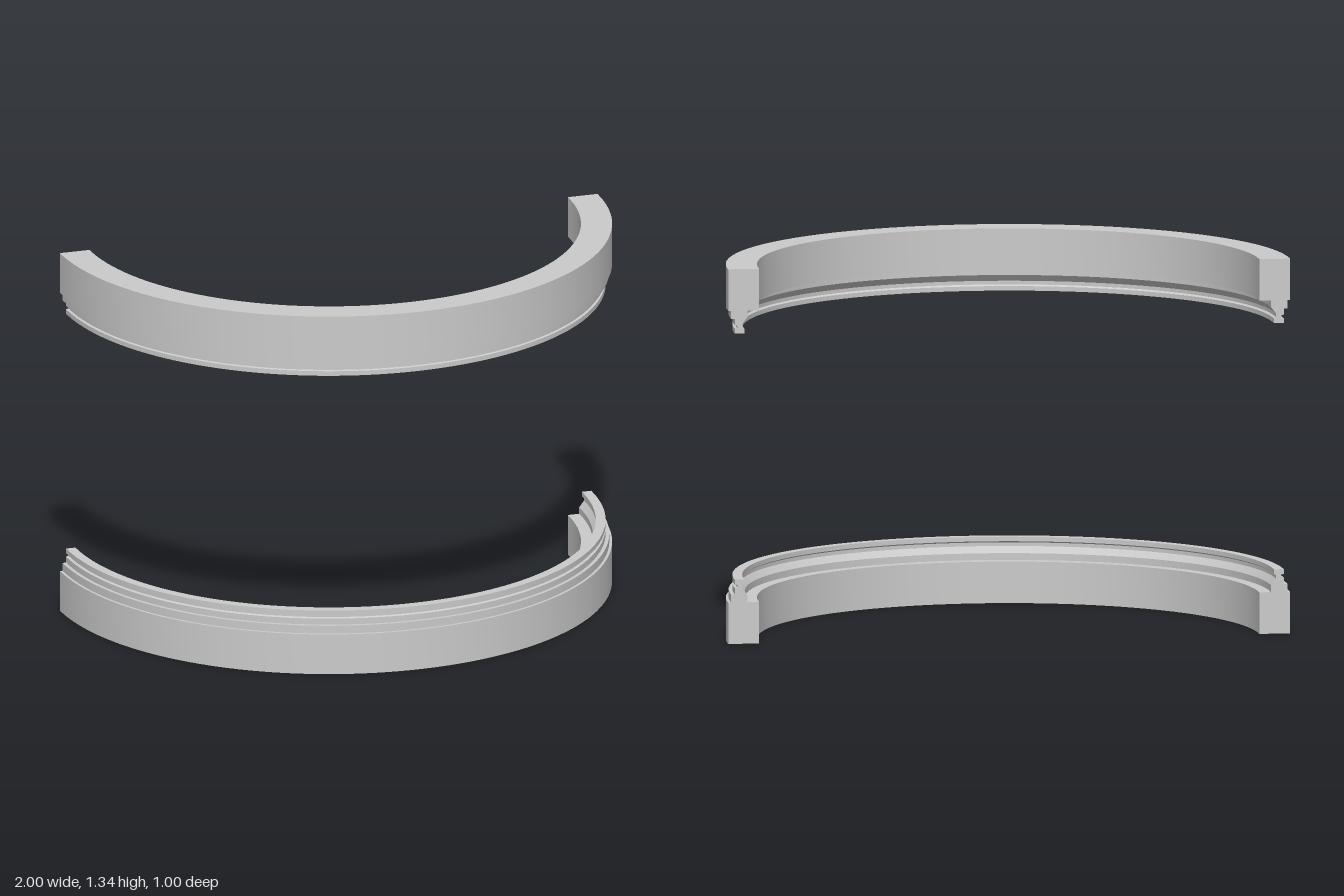
import * as THREE from 'three';
import { mergeGeometries, toCreasedNormals } from 'three/addons/utils/BufferGeometryUtils.js';

const HEIGHT = 1.335;

// Ring cross-section as [radius, height], counter-clockwise
const SECTION = [
  [0.89, 0], [1, 0], [1, 0.148],                                    // main band
  [0.99, 0.148], [0.99, 0.177], [0.977, 0.177], [0.977, 0.199],     // outer steps
  [0.968, 0.202], [0.968, 0.21], [0.977, 0.212], [0.977, 0.229],    // groove and lip
  [0.942, 0.229], [0.942, 0.213], [0.95, 0.208], [0.95, 0.195],     // inner lip and neck
  [0.932, 0.172], [0.932, 0.148], [0.89, 0.148],                    // inner shoulder
].map(([r, y]) => new THREE.Vector2(r, y));

// Flat cut face at one end of the half ring, facing -z
function endCap(side) {
  const shape = new THREE.Shape(SECTION.map(p => new THREE.Vector2(-side * p.x, p.y)));
  return new THREE.ShapeGeometry(shape).rotateY(Math.PI).toNonIndexed();
}

function halfRingGeometry() {
  const sweep = new THREE.LatheGeometry([...SECTION, SECTION[0].clone()], 96, -Math.PI / 2, Math.PI);
  const body = toCreasedNormals(sweep, 0.4);
  return mergeGeometries([body, endCap(1), endCap(-1)]).translate(0, 0, -0.5);
}

export function createModel() {
  const group = new THREE.Group();
  const material = new THREE.MeshStandardMaterial({ color: 0xcccccc });
  const geometry = halfRingGeometry();

  // Lower half ring, stepped rim upward
  const lower = new THREE.Mesh(geometry, material);
  lower.name = 'lowerHalfRing';

  // Upper half ring, the same part turned over
  const upper = new THREE.Mesh(geometry, material);
  upper.name = 'upperHalfRing';
  upper.rotation.z = Math.PI;
  upper.position.y = HEIGHT;

  group.add(lower, upper);
  return group;
}
